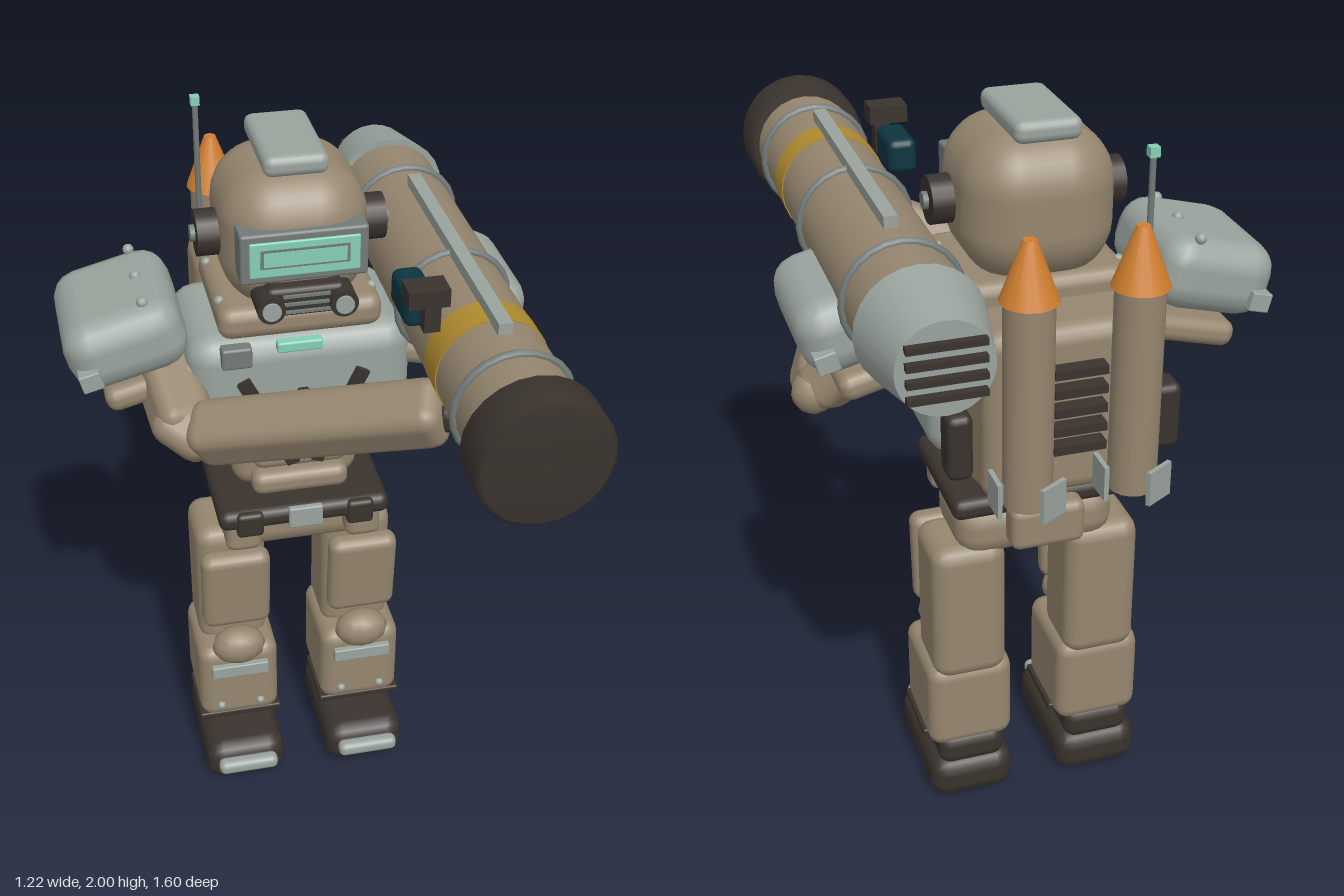
import * as THREE from 'three';
import { RoundedBoxGeometry } from 'three/addons/geometries/RoundedBoxGeometry.js';

const mat = (name, color) => {
  const m = new THREE.MeshStandardMaterial({ color });
  m.name = name;
  return m;
};

export function createModel() {
  const root = new THREE.Group();
  root.name = 'armouredTrooper';
  const tan = mat('tan', 0x95866f), gray = mat('pale gray', 0x9aa39d), dark = mat('charcoal', 0x3a332e);
  const mint = mat('mint glow', 0x86cfb5), orange = mat('orange', 0xd07f30), yellow = mat('mustard', 0xb08c30);
  const teal = mat('deep teal', 0x0d3540), steel = mat('steel', 0x727a78);

  const add = (name, geo, m, x, y, z, parent = root) => {
    const mesh = new THREE.Mesh(geo, m);
    mesh.name = name;
    mesh.position.set(x, y, z);
    parent.add(mesh);
    return mesh;
  };
  // Rounded block; radius 0 gives a plain box
  const block = (name, m, x, y, z, w, h, d, r = 0.02, parent = root) => add(name,
    r ? new RoundedBoxGeometry(w, h, d, 2, Math.min(r, w / 2.02, h / 2.02, d / 2.02)) : new THREE.BoxGeometry(w, h, d),
    m, x, y, z, parent);
  const ball = (name, m, x, y, z, r, parent = root) =>
    add(name, new THREE.SphereGeometry(r, 12, 8), m, x, y, z, parent);
  // Cylinder lying along z, r1 at the front end
  const tubeZ = (name, m, x, y, z1, z2, r1, r2 = r1) => {
    const c = add(name, new THREE.CylinderGeometry(r1, r2, z1 - z2, 24), m, x, y, (z1 + z2) / 2);
    c.rotation.x = Math.PI / 2;
    return c;
  };
  // Rounded beam between two points
  const beam = (name, m, a, b, w, d, r) => {
    const p = new THREE.Vector3(...a), q = new THREE.Vector3(...b);
    const mid = p.clone().lerp(q, 0.5);
    const mesh = block(name, m, mid.x, mid.y, mid.z, w, p.distanceTo(q), d, r);
    mesh.quaternion.setFromUnitVectors(new THREE.Vector3(0, 1, 0), q.sub(p).normalize());
    return mesh;
  };

  // Head
  add('helmet', new RoundedBoxGeometry(0.38, 0.375, 0.4, 4, 0.14), tan, 0, 1.77, -0.2);
  block('crestPlate', gray, 0, 1.972, -0.22, 0.165, 0.055, 0.295, 0.022);
  block('visorFrame', steel, 0, 1.777, -0.025, 0.325, 0.135, 0.08, 0.008);
  block('visorPanel', mint, 0, 1.777, 0.017, 0.28, 0.095, 0.009, 0.004);
  block('visorSlit', steel, 0, 1.78, 0.021, 0.225, 0.05, 0.006, 0);
  block('visorGlow', mint, 0, 1.78, 0.0235, 0.21, 0.038, 0.006, 0);
  block('mouthGuard', dark, 0, 1.66, -0.01, 0.2, 0.08, 0.09, 0.015);
  for (let i = 0; i < 3; i++) block('mouthBar', steel, 0, 1.637 + i * 0.022, 0.037, 0.12, 0.007, 0.012, 0);
  for (const s of [-1, 1]) {
    tubeZ('respirator', dark, s * 0.093, 1.655, 0.058, -0.04, 0.036);
    tubeZ('respiratorFace', gray, s * 0.093, 1.655, 0.066, 0.05, 0.024);
    const ear = add('earPad', new THREE.CylinderGeometry(0.06, 0.06, 0.06, 16), dark, s * 0.215, 1.768, -0.18);
    ear.rotation.z = Math.PI / 2;
    const hub = add('earHub', new THREE.CylinderGeometry(0.022, 0.022, 0.016, 12), steel, s * 0.25, 1.768, -0.18);
    hub.rotation.z = Math.PI / 2;
  }

  // Torso
  block('chest', gray, 0, 1.345, -0.2, 0.6, 0.38, 0.385, 0.07);
  block('collar', tan, 0, 1.575, -0.2, 0.43, 0.09, 0.37, 0.035);
  block('chestLight', mint, -0.01, 1.515, -0.005, 0.12, 0.03, 0.03, 0.006);
  block('chestRadio', steel, -0.175, 1.495, -0.01, 0.08, 0.06, 0.04, 0.008);
  block('chestClip', dark, 0, 1.32, 0.0, 0.03, 0.12, 0.03, 0.006);
  for (const s of [-1, 1]) {
    beam('strap', dark, [s * 0.16, 1.42, 0.0], [s * 0.03, 1.16, 0.015], 0.035, 0.02, 0);
    for (const z of [-0.31, -0.1]) ball('collarBolt', gray, s * 0.2, 1.61, z, 0.014);
  }
  block('waist', tan, 0, 1.085, -0.207, 0.355, 0.155, 0.245, 0.055);
  block('upperBelly', tan, 0, 1.14, -0.06, 0.26, 0.065, 0.07, 0.028);
  block('lowerBelly', tan, 0, 1.055, -0.06, 0.27, 0.07, 0.07, 0.028);

  // Belt and pelvis
  block('belt', dark, 0, 0.98, -0.165, 0.48, 0.06, 0.385, 0.025);
  block('buckle', gray, 0, 0.98, 0.025, 0.095, 0.065, 0.02, 0.005);
  block('pelvis', tan, 0, 0.88, -0.197, 0.435, 0.16, 0.265, 0.065);
  block('rearPouch', tan, 0, 0.928, -0.37, 0.2, 0.125, 0.085, 0.025);
  for (const s of [-1, 1]) {
    block('beltPouch', dark, s * 0.155, 0.97, 0.015, 0.075, 0.075, 0.04, 0.012);
    block('hipPouch', tan, s * 0.17, 0.92, -0.025, 0.1, 0.105, 0.08, 0.025);
  }

  // Legs
  for (const s of [-1, 1]) {
    const x = s * 0.187;
    block('thigh', tan, x, 0.63, -0.225, 0.205, 0.42, 0.21, 0.045);
    block('thighPlate', tan, x, 0.675, -0.072, 0.2, 0.27, 0.07, 0.03).rotation.x = 0.08;
    add('kneeCap', new THREE.SphereGeometry(1, 12, 8), tan, x, 0.47, -0.05).scale.set(0.08, 0.06, 0.055);
    block('shin', tan, x, 0.318, -0.183, 0.24, 0.27, 0.28, 0.04);
    block('shinStrip', gray, x, 0.382, -0.04, 0.17, 0.042, 0.03, 0.004);
    block('shinTrim', dark, x, 0.188, -0.15, 0.25, 0.022, 0.2, 0.006);
    block('ankle', dark, x, 0.165, -0.215, 0.19, 0.1, 0.225, 0.035);
    block('boot', dark, x, 0.067, -0.143, 0.24, 0.134, 0.39, 0.05);
    block('toePlate', gray, x, 0.084, 0.067, 0.18, 0.045, 0.045, 0.018);
    for (const t of [-1, 1]) ball('shinBolt', gray, x + t * 0.06, 0.238, -0.042, 0.013);
  }

  // Shoulder pads
  for (const s of [-1, 1]) {
    const pad = new THREE.Group();
    pad.name = s < 0 ? 'rightShoulder' : 'leftShoulder';
    pad.position.set(s * 0.45, 1.54, -0.19);
    pad.rotation.z = -s * 0.25;
    root.add(pad);
    block('shoulderPad', gray, 0, 0, 0, 0.315, 0.195, 0.39, 0.075, pad);
    block('underPlate', tan, -s * 0.03, -0.15, -0.005, 0.265, 0.07, 0.32, 0.03, pad);
    for (const z of [-0.155, -0.01, 0.13]) ball('padBolt', gray, -s * 0.075, 0.097, z, 0.015, pad);
    for (const t of [-1, 1]) block('padTab', gray, s * 0.11, -0.03, t * 0.19, 0.055, 0.05, 0.05, 0.004, pad);
  }

  // Right arm reaching across to steady the launcher
  beam('rightUpperArm', tan, [-0.36, 1.46, -0.2], [-0.32, 1.32, 0.06], 0.15, 0.15, 0.045);
  beam('rightElbow', tan, [-0.38, 1.36, 0.0], [-0.26, 1.3, 0.1], 0.12, 0.13, 0.045);
  beam('rightForearm', tan, [-0.3, 1.32, 0.06], [0.27, 1.52, 0.38], 0.15, 0.15, 0.045);
  block('rightHand', dark, 0.3, 1.51, 0.37, 0.12, 0.08, 0.1, 0.03);

  // Left arm folded up to the trigger grip
  beam('leftUpperArm', tan, [0.38, 1.44, -0.19], [0.53, 1.25, -0.11], 0.13, 0.14, 0.045);
  ball('leftElbow', tan, 0.54, 1.27, -0.13, 0.057);
  beam('leftForearm', tan, [0.53, 1.26, -0.11], [0.4, 1.43, 0.13], 0.14, 0.15, 0.045);
  block('leftHand', steel, 0.38, 1.45, 0.15, 0.08, 0.08, 0.08, 0.025);
  block('triggerGrip', dark, 0.38, 1.46, 0.16, 0.05, 0.12, 0.05, 0.012);

  // Shoulder launcher
  const lx = 0.37, ly = 1.633;
  tubeZ('launcherTube', tan, lx, ly, 0.7, -0.6, 0.139);
  tubeZ('warningBand', yellow, lx, ly, 0.402, 0.31, 0.142);
  const cap = [[0, 0.13], [0.15, 0.13], [0.166, 0.115], [0.166, 0.015], [0.15, 0], [0, 0]]
    .map(([r, h]) => new THREE.Vector2(r, h)).reverse();
  const muzzle = add('muzzleCap', new THREE.LatheGeometry(cap, 24), dark, lx, ly, 0.67);
  muzzle.rotation.x = Math.PI / 2;
  tubeZ('exhaustCone', gray, lx, ly, -0.58, -0.78, 0.155, 0.113);
  for (let i = 0; i < 4; i++) block('exhaustSlat', dark, lx, ly - 0.06 + i * 0.04, -0.785, 0.18, 0.016, 0.03, 0);
  for (const z of [-0.42, 0.065, 0.555])
    add('tubeRing', new THREE.TorusGeometry(0.142, 0.011, 6, 24), steel, lx, ly, z);
  block('topRail', gray, lx, 1.783, 0.067, 0.034, 0.034, 0.795, 0);
  block('sightBody', teal, 0.218, 1.755, 0.225, 0.076, 0.09, 0.15, 0.02);
  block('sightHood', dark, 0.218, 1.822, 0.33, 0.1, 0.045, 0.07, 0);
  block('sightBracket', dark, 0.235, 1.765, 0.32, 0.04, 0.09, 0.04, 0);

  // Backpack
  block('backpack', tan, 0, 1.355, -0.475, 0.44, 0.45, 0.2, 0.045);
  for (let i = 0; i < 5; i++) block('packVent', dark, 0, 1.28 + i * 0.05, -0.59, 0.13, 0.022, 0.05, 0);
  for (const s of [-1, 1]) block('sideCanister', dark, s * 0.265, 1.268, -0.48, 0.065, 0.175, 0.085, 0.02);
  add('antennaRod', new THREE.CylinderGeometry(0.008, 0.008, 0.5, 8), steel, -0.18, 1.72, -0.54);
  block('antennaTip', mint, -0.18, 1.968, -0.54, 0.024, 0.024, 0.024, 0);

  // Back-mounted rockets with tangential fins
  for (const s of [-1, 1]) {
    const rocket = new THREE.Group();
    rocket.name = 'rocket';
    rocket.position.set(s * 0.132, 0, -0.617);
    root.add(rocket);
    add('rocketBody', new THREE.CylinderGeometry(0.06, 0.06, 0.53, 16), tan, 0, 1.425, 0, rocket);
    add('rocketNose', new THREE.CylinderGeometry(0.016, 0.07, 0.145, 16), orange, 0, 1.757, 0, rocket);
    for (let k = 0; k < 3; k++) {
      const a = Math.PI / 2 + k * Math.PI * 2 / 3 - 0.0;
      const fin = block('rocketFin', gray, Math.sin(a) * 0.08, 1.195, Math.cos(a) * 0.08, 0.08, 0.09, 0.012, 0, rocket);
      fin.rotation.y = a;
      const arm = block('finMount', steel, Math.sin(a) * 0.065, 1.195, Math.cos(a) * 0.065, 0.012, 0.05, 0.03, 0, rocket);
      arm.rotation.y = a;
    }
  }
  return root;
}
